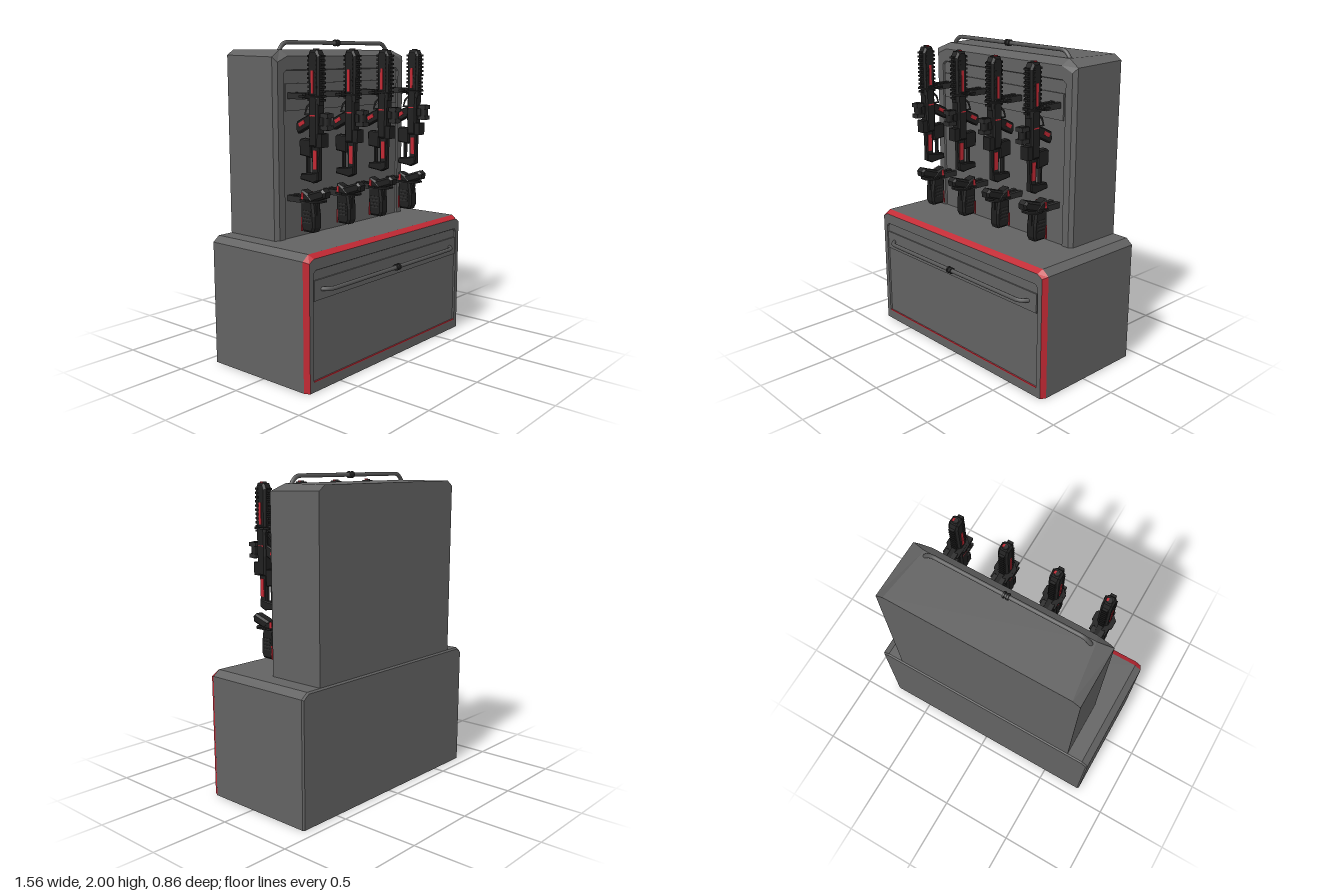
import * as THREE from 'three';

const mat = (name, color, side = THREE.FrontSide) => {
  const m = new THREE.MeshStandardMaterial({ color, side });
  m.name = name;
  return m;
};

export function createModel() {
  const grey = mat('cabinet grey', 0x626262);
  const steel = mat('handle steel', 0x575757);
  const red = mat('accent red', 0xc12833);
  const black = mat('gun black', 0x1f1f1f);
  const charcoal = mat('gun charcoal', 0x2c2c2c);
  const root = new THREE.Group();

  const add = (parent, name, geo, m, x = 0, y = 0, z = 0) => {
    const mesh = new THREE.Mesh(geo, m);
    mesh.name = name;
    mesh.position.set(x, y, z);
    parent.add(mesh);
    return mesh;
  };
  const box = (p, name, m, x, y, z, w, h, d) =>
    add(p, name, new THREE.BoxGeometry(w, h, d), m, x, y, z);

  // Cabinet outline with clipped top corners; zTop lets the top edge lean back
  const ring = (w, y0, yc, xc, yt, z, zTop = z) => [
    [w, y0, z], [w, yc, z], [xc, yt, zTop], [-xc, yt, zTop], [-w, yc, z], [-w, y0, z]];

  // Flat-shaded skin through successive outlines, with optional end caps
  const loft = (rings, capBack, capFront) => {
    const pos = [], tri = (...c) => c.forEach(v => pos.push(...v));
    const n = rings[0].length;
    for (let r = 0; r < rings.length - 1; r++) {
      const a = rings[r], b = rings[r + 1];
      for (let i = 0; i < n; i++) {
        const j = (i + 1) % n;
        tri(a[i], a[j], b[j]);
        tri(a[i], b[j], b[i]);
      }
    }
    const last = rings[rings.length - 1];
    for (let i = 1; i < n - 1; i++) {
      if (capBack) tri(rings[0][0], rings[0][i + 1], rings[0][i]);
      if (capFront) tri(last[0], last[i], last[i + 1]);
    }
    const g = new THREE.BufferGeometry();
    g.setAttribute('position', new THREE.Float32BufferAttribute(pos, 3));
    g.computeVertexNormals();
    return g;
  };

  // Side profile given as [z, y], extruded across x with a small bevel
  const profile = (p, name, m, pts, width, bevel = 0.006, holes = []) => {
    const v = a => a.map(q => new THREE.Vector2(q[0], q[1]));
    const s = new THREE.Shape(v(pts));
    holes.forEach(h => s.holes.push(new THREE.Path(v(h))));
    const depth = width - 2 * bevel;
    const g = new THREE.ExtrudeGeometry(s, {
      depth, bevelEnabled: bevel > 0, bevelThickness: bevel,
      bevelSize: bevel, bevelOffset: -bevel, bevelSegments: 1 });
    g.translate(0, 0, -depth / 2);
    g.rotateY(-Math.PI / 2);
    return add(p, name, g, m);
  };

  // Lower chest: body, red bevelled trim, recessed front
  const chest = new THREE.Group();
  chest.name = 'lowerChest';
  root.add(chest);
  const trimBack = ring(0.78, 0, 0.775, 0.735, 0.81, 0.33);
  const trimFront = ring(0.763, 0, 0.765, 0.725, 0.787, 0.365);
  add(chest, 'chestBody', loft([
    ring(0.77, 0, 0.77, 0.73, 0.80, -0.43),
    ring(0.78, 0, 0.775, 0.735, 0.81, -0.42), trimBack], true, false), grey);
  add(chest, 'chestTrim', loft([trimBack, trimFront], false, false), red);
  add(chest, 'chestFront', loft([trimFront,
    ring(0.73, 0.06, 0.70, 0.71, 0.72, 0.365),
    ring(0.725, 0.065, 0.697, 0.706, 0.715, 0.355)], false, true), grey);
  box(chest, 'chestFrontStrip', red, 0, 0.062, 0.362, 1.45, 0.007, 0.007);
  box(chest, 'chestHandlePlate', grey, 0, 0.60, 0.358, 1.44, 0.12, 0.012);

  // Upper cabinet with sloping front bevels and a recessed back board
  const upper = new THREE.Group();
  upper.name = 'upperCabinet';
  root.add(upper);
  add(upper, 'cabinetBody', loft([
    ring(0.63, 0.8, 1.905, 0.58, 1.938, -0.42),
    ring(0.63, 0.8, 1.895, 0.535, 1.938, -0.04, -0.07),
    ring(0.605, 0.8, 1.865, 0.52, 1.90, -0.02),
    ring(0.555, 0.8, 1.80, 0.53, 1.82, -0.02),
    ring(0.55, 0.8, 1.796, 0.526, 1.815, -0.03)], true, true), grey);
  box(upper, 'cabinetRackPlate', grey, 0, 1.66, -0.027, 1.08, 0.16, 0.012);

  // Bar handles with ringed centre collars
  const handle = (name, half, foot, bar) => {
    const g = new THREE.Group();
    g.name = name;
    root.add(g);
    const v = (x, t) => new THREE.Vector3(x, ...foot.map((f, i) => f + (bar[i] - f) * t));
    const path = new THREE.CurvePath();
    const bend = s => [v(s * half, 0), v(s * (half - 0.025), 0.95), v(s * (half - 0.07), 1)];
    const l = bend(-1), r = bend(1).reverse();
    path.add(new THREE.QuadraticBezierCurve3(...l));
    path.add(new THREE.LineCurve3(l[2], r[0]));
    path.add(new THREE.QuadraticBezierCurve3(...r));
    add(g, 'handleBar', new THREE.TubeGeometry(path, 120, 0.013, 10), steel);
    for (const x of [-0.013, 0, 0.013]) {
      const c = new THREE.CylinderGeometry(x ? 0.021 : 0.017, x ? 0.021 : 0.017, 0.011, 12);
      add(g, 'handleCollar', c.rotateZ(Math.PI / 2), charcoal, x, ...bar);
    }
  };
  handle('topHandle', 0.515, [1.93, -0.095], [1.98, -0.095]);
  handle('chestHandle', 0.66, [0.60, 0.35], [0.60, 0.405]);

  // Wall bracket: two prongs, a stem and a thin eight-sided cradle
  const bracket = (p, y) => {
    const g = new THREE.Group();
    g.name = 'bracket';
    p.add(g);
    for (const s of [-1, 1]) {
      box(g, 'bracketProng', charcoal, s * 0.026, y, 0.035, 0.026, 0.036, 0.13);
      box(g, 'bracketArm', black, s * 0.042, y, 0.13, 0.016, 0.012, 0.10);
    }
    box(g, 'bracketStem', black, 0, y, 0.045, 0.03, 0.026, 0.15);
    const plate = new THREE.CylinderGeometry(0.068, 0.068, 0.01, 8).rotateY(Math.PI / 8);
    add(g, 'bracketCradle', plate, black, 0, y, 0.165);
  };

  // Long gun hung muzzle up
  const rifle = x => {
    const g = new THREE.Group();
    g.name = 'rifle';
    g.position.x = x;
    root.add(g);
    profile(g, 'handguard', black, [[0.135, 1.62], [0.215, 1.62], [0.218, 1.90],
      [0.20, 1.935], [0.145, 1.935], [0.13, 1.90]], 0.064, 0.012);
    const muzzle = new THREE.CylinderGeometry(0.018, 0.018, 0.012, 10);
    add(g, 'muzzle', muzzle, charcoal, 0, 1.936, 0.172);
    box(g, 'muzzleMark', red, 0.012, 1.94, 0.172, 0.014, 0.006, 0.02);
    for (let i = 0; i < 11; i++) {
      const y = 1.65 + i * 0.025;
      box(g, 'railTooth', black, 0, y, 0.22, 0.034, 0.013, 0.022);
      box(g, 'railTooth', black, 0, y, 0.128, 0.034, 0.013, 0.02);
      if (y > 1.7) box(g, 'sideRailTooth', black, 0, y, 0.195, 0.074, 0.013, 0.02);
    }
    for (const s of [-1, 1]) {
      box(g, 'handguardStripe', red, s * 0.033, 1.755, 0.172, 0.006, 0.13, 0.018);
      box(g, 'receiverStripe', red, s * 0.032, 1.562, 0.172, 0.006, 0.008, 0.045);
      box(g, 'stockStripe', red, s * 0.019, 1.305, 0.178, 0.006, 0.11, 0.028);
      box(g, 'gripStripe', red, s * 0.021, 1.512, 0.075, 0.006, 0.022, 0.05).rotation.x = -0.5;
    }
    profile(g, 'receiver', black, [[0.14, 1.38], [0.205, 1.38], [0.21, 1.66],
      [0.20, 1.69], [0.14, 1.69], [0.135, 1.5]], 0.07, 0.01);
    profile(g, 'triggerGuard', black, [[0.14, 1.56], [0.085, 1.56], [0.10, 1.61], [0.14, 1.645]],
      0.022, 0, [[[0.132, 1.57], [0.10, 1.57], [0.112, 1.602], [0.132, 1.62]]]);
    profile(g, 'pistolGrip', black, [[0.145, 1.57], [0.14, 1.50], [0.04, 1.45],
      [0.025, 1.475], [0.03, 1.52], [0.09, 1.55]], 0.042);
    profile(g, 'magazine', black, [[0.145, 1.42], [0.07, 1.425], [0.052, 1.41],
      [0.055, 1.325], [0.145, 1.315]], 0.046);
    // Sight and its mount
    const sight = new THREE.CylinderGeometry(0.024, 0.024, 0.10, 10);
    add(g, 'sight', sight, black, 0, 1.53, 0.255);
    for (const y of [1.495, 1.565]) box(g, 'sightRing', charcoal, 0, y, 0.252, 0.054, 0.025, 0.058);
    box(g, 'sightMount', black, 0, 1.53, 0.215, 0.03, 0.05, 0.04);
    box(g, 'rearSight', black, 0, 1.42, 0.215, 0.06, 0.08, 0.045);
    // Skeleton stock and butt pad
    profile(g, 'stock', black, [[0.15, 1.20], [0.20, 1.20], [0.205, 1.40], [0.145, 1.40]], 0.036);
    box(g, 'stockStrut', black, 0, 1.265, 0.106, 0.026, 0.13, 0.012);
    profile(g, 'buttPad', black, [[0.20, 1.185], [0.20, 1.235], [0.15, 1.225], [0.06, 1.215],
      [0.055, 1.18], [0.14, 1.17], [0.16, 1.165]], 0.044);
    bracket(g, 1.67);
  };

  // Hand gun hung muzzle down, grip towards the front
  const pistol = x => {
    const g = new THREE.Group();
    g.name = 'handGun';
    g.position.x = x;
    root.add(g);
    profile(g, 'slide', black, [[0.085, 0.87], [0.165, 0.87], [0.18, 0.90], [0.18, 0.97],
      [0.165, 1.07], [0.13, 1.10], [0.075, 1.12], [0.07, 0.93]], 0.076, 0.012);
    profile(g, 'grip', black, [[0.11, 1.10], [0.13, 1.045], [0.18, 1.06], [0.255, 1.085],
      [0.26, 1.12], [0.235, 1.14], [0.16, 1.115]], 0.068, 0.012);
    profile(g, 'triggerGuard', black, [[0.155, 0.96], [0.18, 0.97], [0.185, 1.05], [0.155, 1.07]],
      0.024, 0, [[[0.162, 0.985], [0.173, 0.985], [0.176, 1.035], [0.162, 1.04]]]);
    box(g, 'rearSight', black, 0, 1.10, 0.072, 0.03, 0.03, 0.02);
    for (const s of [-1, 1]) {
      box(g, 'slideStripe', red, s * 0.038, 1.085, 0.09, 0.006, 0.04, 0.016);
      box(g, 'barrelStripe', red, s * 0.037, 0.915, 0.083, 0.007, 0.085, 0.008);
      for (let i = 0; i < 4; i++)
        box(g, 'slideGroove', charcoal, s * 0.038, 0.93 + i * 0.022, 0.125, 0.006, 0.009, 0.06);
    }
    bracket(g, 1.06);
  };

  for (const x of [-0.485, -0.163, 0.16, 0.482]) {
    rifle(x);
    pistol(x);
  }
  return root;
}
